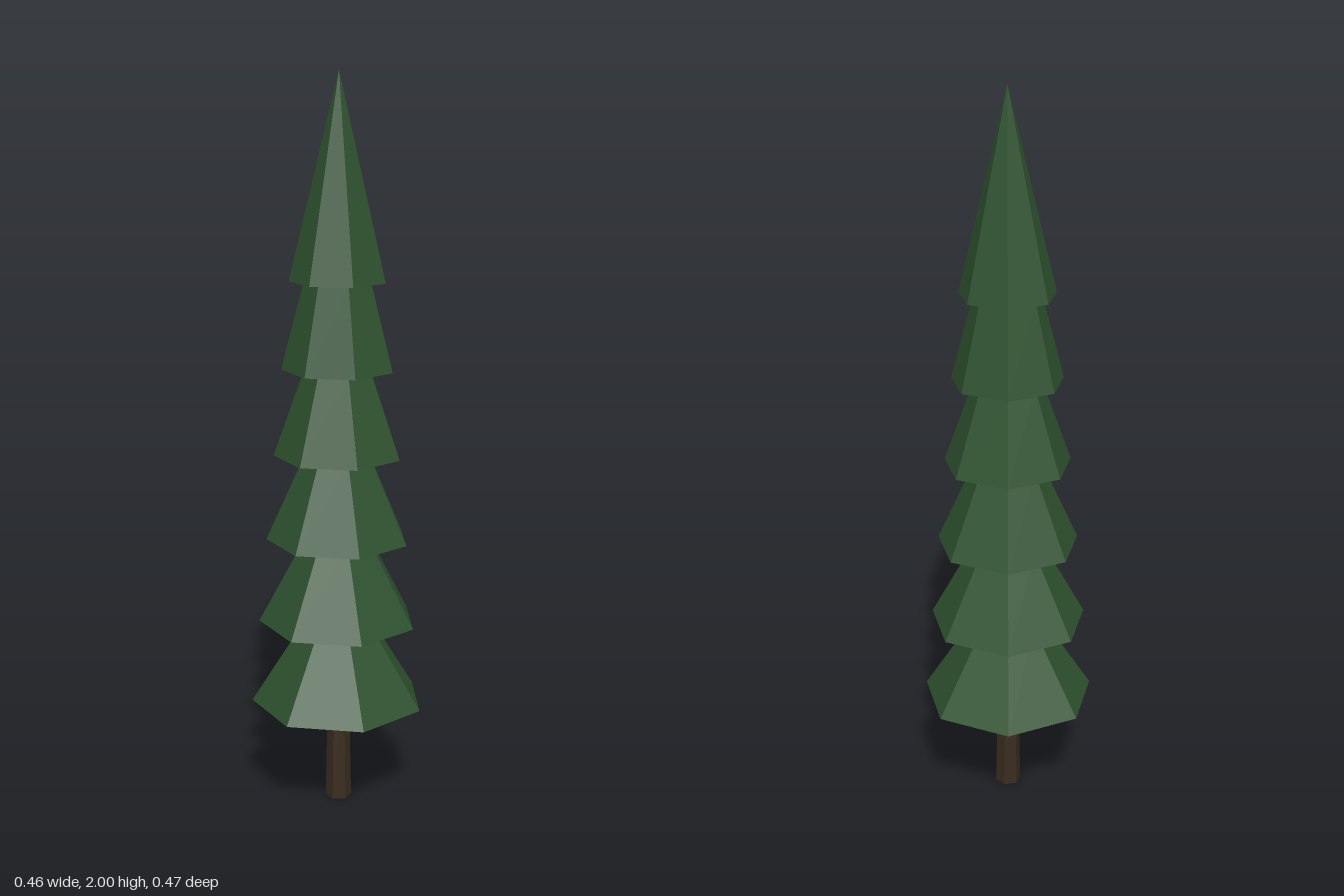
import * as THREE from 'three';

export function createModel() {
  const tree = new THREE.Group();
  tree.name = 'pineTree';

  const needles = new THREE.MeshStandardMaterial({ color: 0x2e522f, flatShading: true });
  needles.name = 'needle green';
  const bark = new THREE.MeshStandardMaterial({ color: 0x3a2c20, flatShading: true });
  bark.name = 'bark brown';

  const axisX = 0.012; // trunk axis, so the seven-sided crown is centred

  // Tapered, faceted piece standing on y = bottom
  function addPiece(name, rTop, rBottom, bottom, top, sides, start, material) {
    const geometry = new THREE.CylinderGeometry(rTop, rBottom, top - bottom, sides, 1, false, start);
    const mesh = new THREE.Mesh(geometry, material);
    mesh.name = name;
    mesh.position.set(axisX, (bottom + top) / 2, 0);
    tree.add(mesh);
  }

  // Six-sided trunk
  addPiece('trunk', 0.029, 0.036, 0, 0.34, 6, Math.PI / 2, bark);

  // Crown: five skirts narrowing to the same neck, then the pointed tip
  const tiers = 6, firstBase = 0.293, step = 0.2342;
  for (let i = 0; i < tiers; i++) {
    const base = firstBase + i * step;
    const radius = 0.24 - i * 0.0218;
    const isTip = i === tiers - 1;
    addPiece(isTip ? 'crownTip' : `branchTier${i + 1}`, isTip ? 0 : 0.091, radius,
      base, isTip ? 2 : base + step, 7, -Math.PI / 2, needles);
  }

  return tree;
}
